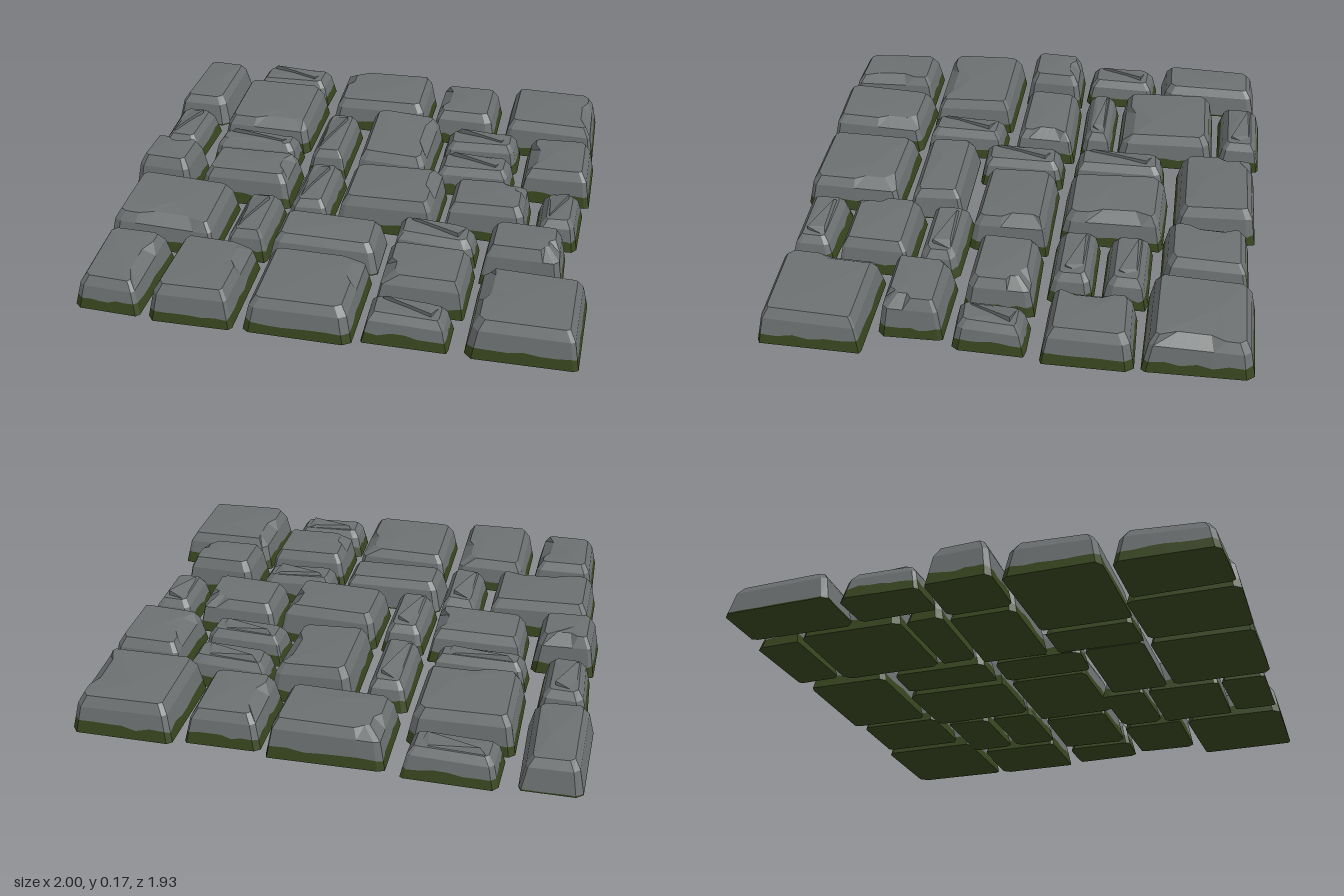
import * as THREE from 'three';
import { ConvexGeometry } from 'three/addons/geometries/ConvexGeometry.js';

// Each stone: x0, x1, z0, z1, height
const BLOCKS = [
  [-0.28, 0.18, -0.95, -0.6, 0.15], [0.2, 0.5, -0.93, -0.57, 0.145],
  [0.53, 0.95, -0.95, -0.53, 0.155], [-0.73, -0.31, -0.76, -0.33, 0.15],
  [-0.07, 0.27, -0.58, -0.14, 0.155], [0.65, 0.96, -0.51, -0.15, 0.15],
  [-0.98, -0.71, -0.14, 0.13, 0.17], [-0.69, -0.28, -0.15, 0.13, 0.145],
  [-0.07, 0.36, -0.12, 0.22, 0.155], [0.37, 0.73, -0.11, 0.18, 0.15],
  [-0.94, -0.48, 0.15, 0.53, 0.15], [0.57, 0.9, 0.21, 0.48, 0.17],
  [0.2, 0.56, 0.41, 0.72, 0.15], [0.58, 1, 0.5, 0.92, 0.15],
  [-0.92, -0.64, 0.55, 0.95, 0.14], [-0.62, -0.28, 0.53, 0.96, 0.145],
  [-0.25, 0.17, 0.53, 0.95, 0.14],
];
// Small stones with a diagonal crack
const CRACKED = [
  [-0.7, -0.33, -0.97, -0.77, 0.14], [-0.72, -0.32, -0.32, -0.16, 0.145],
  [-0.97, -0.77, -0.48, -0.15, 0.14], [-0.29, -0.1, -0.56, -0.15, 0.145],
  [0.28, 0.63, -0.54, -0.35, 0.145], [0.28, 0.63, -0.33, -0.14, 0.145],
  [-0.27, -0.08, -0.12, 0.25, 0.145], [0.75, 0.94, -0.11, 0.19, 0.145],
  [-0.46, -0.27, 0.16, 0.52, 0.145], [0.2, 0.55, 0.21, 0.4, 0.145],
  [0.19, 0.53, 0.73, 0.92, 0.14],
];
// Plain slabs, almost free of moss
const SLABS = [
  [-1, -0.75, -0.95, -0.5, 0.13], [-0.27, 0.18, 0.26, 0.51, 0.13],
];

let seed = 7;
function rand(lo, hi) {
  seed = (seed * 16807) % 2147483647;
  return lo + (hi - lo) * (seed / 2147483647);
}

// Flat-sided geometry from stacked rings, with optional centre points closing it
function loft(rings, bottom, top) {
  const pos = [];
  const tri = (...pts) => pts.forEach((p) => pos.push(p.x, p.y, p.z));
  const n = rings[0].length;
  for (let i = 0; i < n; i++) {
    const j = (i + 1) % n;
    for (let k = 0; k + 1 < rings.length; k++) {
      const lo = rings[k], hi = rings[k + 1];
      tri(lo[i], hi[i], lo[j]);
      tri(lo[j], hi[i], hi[j]);
    }
    if (bottom) tri(bottom, rings[0][i], rings[0][j]);
    if (top) tri(top, rings.at(-1)[j], rings.at(-1)[i]);
  }
  const geo = new THREE.BufferGeometry();
  geo.setAttribute('position', new THREE.Float32BufferAttribute(pos, 3));
  geo.computeVertexNormals();
  return geo;
}

// Footprint: a rectangle with uneven cut corners and subdivided long edges
function footprint(hw, hd) {
  const corners = [];
  for (const [sx, sz, alongX] of [[1, -1, true], [1, 1, false], [-1, 1, true], [-1, -1, false]]) {
    const cx = rand(0.012, 0.035), cz = rand(0.012, 0.035);
    const jx = rand(0, 0.01), jz = rand(0, 0.01);
    const a = new THREE.Vector3(sx * (hw - cx), 0, sz * (hd - jz));
    const b = new THREE.Vector3(sx * (hw - jx), 0, sz * (hd - cz));
    corners.push(...(alongX ? [a, b] : [b, a]));
  }
  const ring = [];
  corners.forEach((p, i) => {
    const next = corners[(i + 1) % 8];
    const steps = i % 2 ? 6 : 1;
    for (let s = 0; s < steps; s++) ring.push(p.clone().lerp(next, s / steps));
  });
  return ring;
}

// Raised half of a top, ending in a diagonal crack
function crackedLedge(hw, hd, topY) {
  const long = hw > hd;
  const lean = long ? 1 : -1;
  const L = Math.max(hw, hd) - 0.05, W = Math.min(hw, hd) - 0.05;
  const at = (l, w, y) => (long ? new THREE.Vector3(l, y, w) : new THREE.Vector3(w, y, l));
  const low = topY - 0.012, high = topY + 0.016;
  return new ConvexGeometry([
    at(-0.75 * L, -lean * 0.7 * W, low), at(-0.75 * L, -lean * 0.7 * W, high),
    at(0.75 * L, lean * 0.7 * W, low), at(0.75 * L, lean * 0.7 * W, high - 0.006),
    at(-0.95 * L, -W, low), at(0.95 * L, -W, low), at(0.6 * L, -0.8 * W, topY + 0.004),
  ]);
}

function makeStone([x0, x1, z0, z1, height], name, mats) {
  const hw = (x1 - x0) / 2, hd = (z1 - z0) / 2;
  const cracked = name === 'crackedStone';
  const topY = cracked ? height - 0.02 : height;
  const base = footprint(hw, hd);
  const n = base.length;

  // Sloping walls, then a bevel up to a slightly tilted top with a chipped rim
  const tiltX = rand(-0.04, 0.04), tiltZ = rand(-0.04, 0.04);
  const inset = (p, d, y) => new THREE.Vector3(
    p.x * (1 - d / hw), y + tiltX * p.x + tiltZ * p.z, p.z * (1 - d / hd));
  const shoulder = base.map((p) => inset(p, 0.022, topY * 0.72));
  const chipAt = Math.floor(rand(0, n));
  const rim = base.map((p, i) => {
    const chipped = name === 'blockStone' && (i - chipAt + n) % n < 4;
    return inset(p, chipped ? 0.07 : 0.045, topY - 0.004);
  });
  const crown = new THREE.Vector3(rand(-0.3, 0.3) * hw, topY + 0.002, rand(-0.3, 0.3) * hd);

  // Ragged moss line following the wall
  const mossLevel = name === 'slabStone' ? 0.006 : 0.043;
  const mossLine = base.map((p, i) =>
    p.clone().lerp(shoulder[i], (mossLevel * rand(0.82, 1.18)) / shoulder[i].y));

  const group = new THREE.Group();
  group.name = name;
  const add = (part, geo, mat) => {
    const mesh = new THREE.Mesh(geo, mat);
    mesh.name = part;
    group.add(mesh);
  };
  add('mossBase', loft([base, mossLine], new THREE.Vector3(), null), mats.moss);
  add('stoneBody', loft([mossLine, shoulder, rim], null, crown), mats.stone);
  if (cracked) add('crackedLedge', crackedLedge(hw, hd, topY), mats.stone);
  group.position.set((x0 + x1) / 2, 0, (z0 + z1) / 2);
  return group;
}

export function createModel() {
  const mats = {
    stone: new THREE.MeshStandardMaterial({ color: 0x6c7070, flatShading: true }),
    moss: new THREE.MeshStandardMaterial({ color: 0x38451f, flatShading: true }),
  };
  mats.stone.name = 'stoneGrey';
  mats.moss.name = 'mossGreen';

  const model = new THREE.Group();
  model.name = 'stonePaving';
  const kinds = { blockStone: BLOCKS, crackedStone: CRACKED, slabStone: SLABS };
  for (const [name, list] of Object.entries(kinds)) {
    for (const spec of list) model.add(makeStone(spec, name, mats));
  }
  return model;
}
